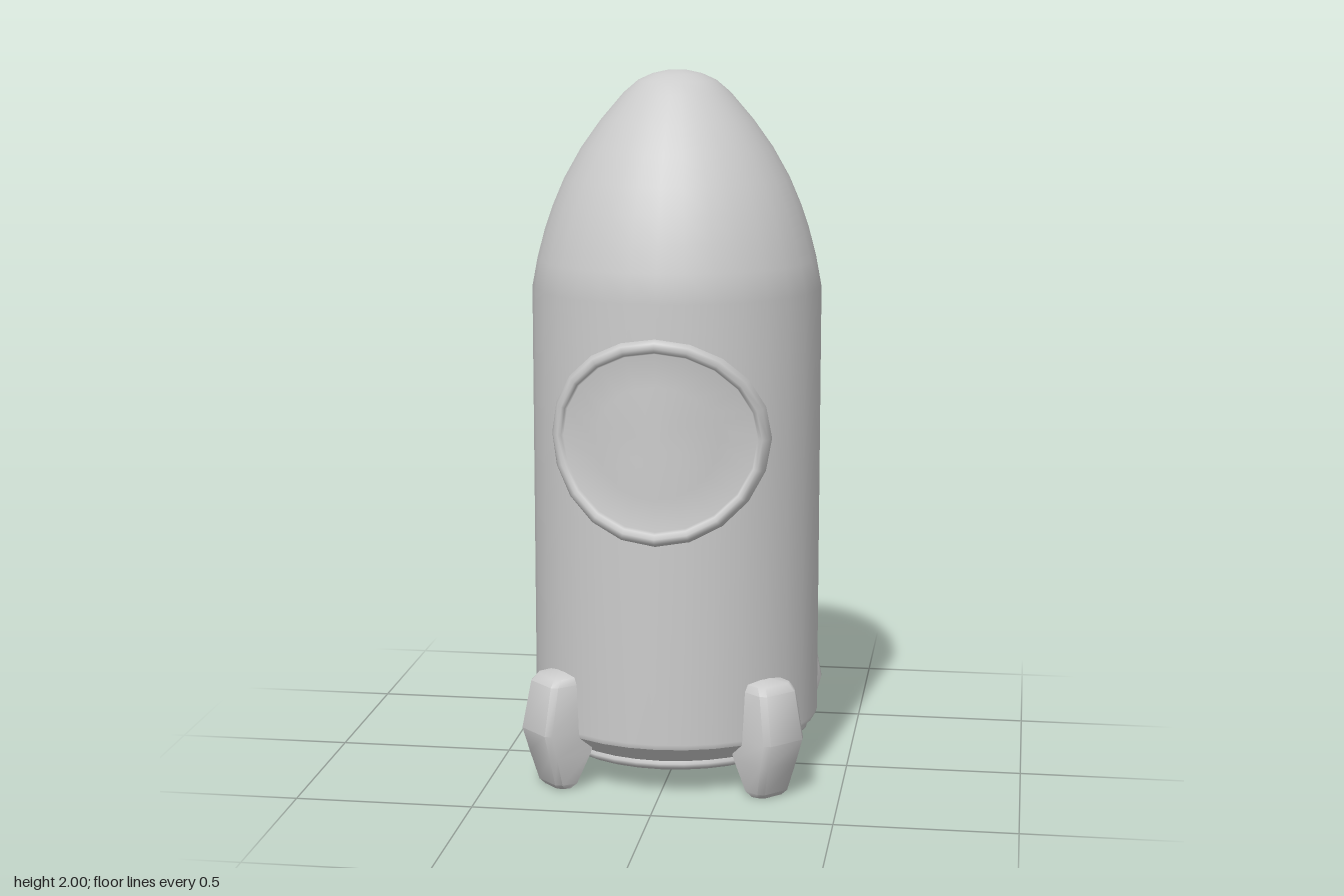
import * as THREE from 'three';
import { toCreasedNormals } from 'three/addons/utils/BufferGeometryUtils.js';

const material = new THREE.MeshStandardMaterial({ color: 0xcccccc });

function mesh(name, geometry) {
  const m = new THREE.Mesh(geometry, material);
  m.name = name;
  return m;
}

function lathe(name, points) {
  return mesh(name, new THREE.LatheGeometry(points.map(([r, y]) => new THREE.Vector2(r, y)), 32));
}

// Skin a list of equal-length closed loops; endPoint / startPoint close the ends.
function loft(loops, endPoint, startPoint) {
  const n = loops[0].length;
  const position = loops.flat(2);
  const index = [];
  for (let i = 0; i < loops.length - 1; i++) {
    for (let j = 0; j < n; j++) {
      const a = i * n + j, b = i * n + (j + 1) % n;
      index.push(a, b, b + n, a, b + n, a + n);
    }
  }
  const cap = (point, first, flip) => {
    const centre = position.length / 3;
    position.push(...point);
    for (let j = 0; j < n; j++) {
      const a = first + j, b = first + (j + 1) % n;
      index.push(centre, flip ? b : a, flip ? a : b);
    }
  };
  if (endPoint) cap(endPoint, (loops.length - 1) * n, false);
  if (startPoint) cap(startPoint, 0, true);
  const g = new THREE.BufferGeometry();
  g.setAttribute('position', new THREE.Float32BufferAttribute(position, 3));
  g.setIndex(index);
  g.computeVertexNormals();
  return g;
}

// Rim and glass in one smooth skin, wrapped around the hull cylinder.
function windowGeometry() {
  const segments = 20;
  // half width, half height, distance from the hull axis
  const levels = [
    [0.298, 0.278, 0.40], [0.305, 0.285, 0.432], [0.297, 0.276, 0.447], [0.283, 0.262, 0.45],
    [0.273, 0.25, 0.442], [0.268, 0.245, 0.43], [0.17, 0.155, 0.43], [0.08, 0.075, 0.43],
  ];
  const loops = levels.map(([w, h, r]) => Array.from({ length: segments }, (_, j) => {
    const t = (j / segments) * Math.PI * 2;
    const x = w * Math.cos(t);
    return [x, h * Math.sin(t), Math.sqrt(r * r - x * x)];
  }));
  return loft(loops, [0, 0, 0.43]);
}

// Stubby fin pointing along +x, stacked from bevelled sections.
function finGeometry() {
  // height, inner radius, outer radius, half width
  const levels = [
    [0, 0.415, 0.447, 0.045], [0.015, 0.4, 0.46, 0.055], [0.1, 0.36, 0.485, 0.065],
    [0.17, 0.34, 0.505, 0.071], [0.305, 0.34, 0.478, 0.064], [0.325, 0.34, 0.46, 0.056],
  ];
  const c = 0.015;
  const loops = levels.map(([y, rIn, rOut, w]) => [
    [rOut, y, w - c], [rOut, y, c - w], [rOut - c, y, -w],
    [rIn, y, -w * 1.12], [rIn, y, w * 1.12], [rOut - c, y, w],
  ]);
  return toCreasedNormals(loft(loops, [0.39, 0.335, 0], [0.43, 0, 0]), 0.8);
}

export function createModel() {
  const model = new THREE.Group();
  model.name = 'rocket';
  const rocket = new THREE.Group();
  rocket.name = 'rocketBody';
  rocket.position.z = -0.02;
  model.add(rocket);

  // Hull with pointed nose
  rocket.add(lathe('hull', [
    [0.405, 0.15], [0.41, 0.165], [0.41, 0.8], [0.41, 1.395], [0.395, 1.475], [0.374, 1.555],
    [0.35, 1.625], [0.318, 1.7], [0.27, 1.785], [0.215, 1.862], [0.15, 1.938],
    [0.11, 1.972], [0.07, 1.99], [0.03, 1.999], [0, 2],
  ]));

  // Sloping underside
  rocket.add(lathe('underside', [[0.34, 0.095], [0.405, 0.15]]));

  // Rounded exhaust rim with a recessed floor
  rocket.add(lathe('exhaust', [
    [0, 0.1], [0.15, 0.1], [0.285, 0.1], [0.295, 0.08], [0.308, 0.069], [0.33, 0.069],
    [0.345, 0.078], [0.349, 0.09], [0.34, 0.105],
  ]));

  // Front window
  const porthole = mesh('window', windowGeometry());
  porthole.position.y = 1.02;
  rocket.add(porthole);

  // Four diagonal fins
  const finShape = finGeometry();
  for (let i = 0; i < 4; i++) {
    const fin = mesh('fin', finShape);
    fin.rotation.y = Math.PI / 4 + (i * Math.PI) / 2;
    rocket.add(fin);
  }
  return model;
}
